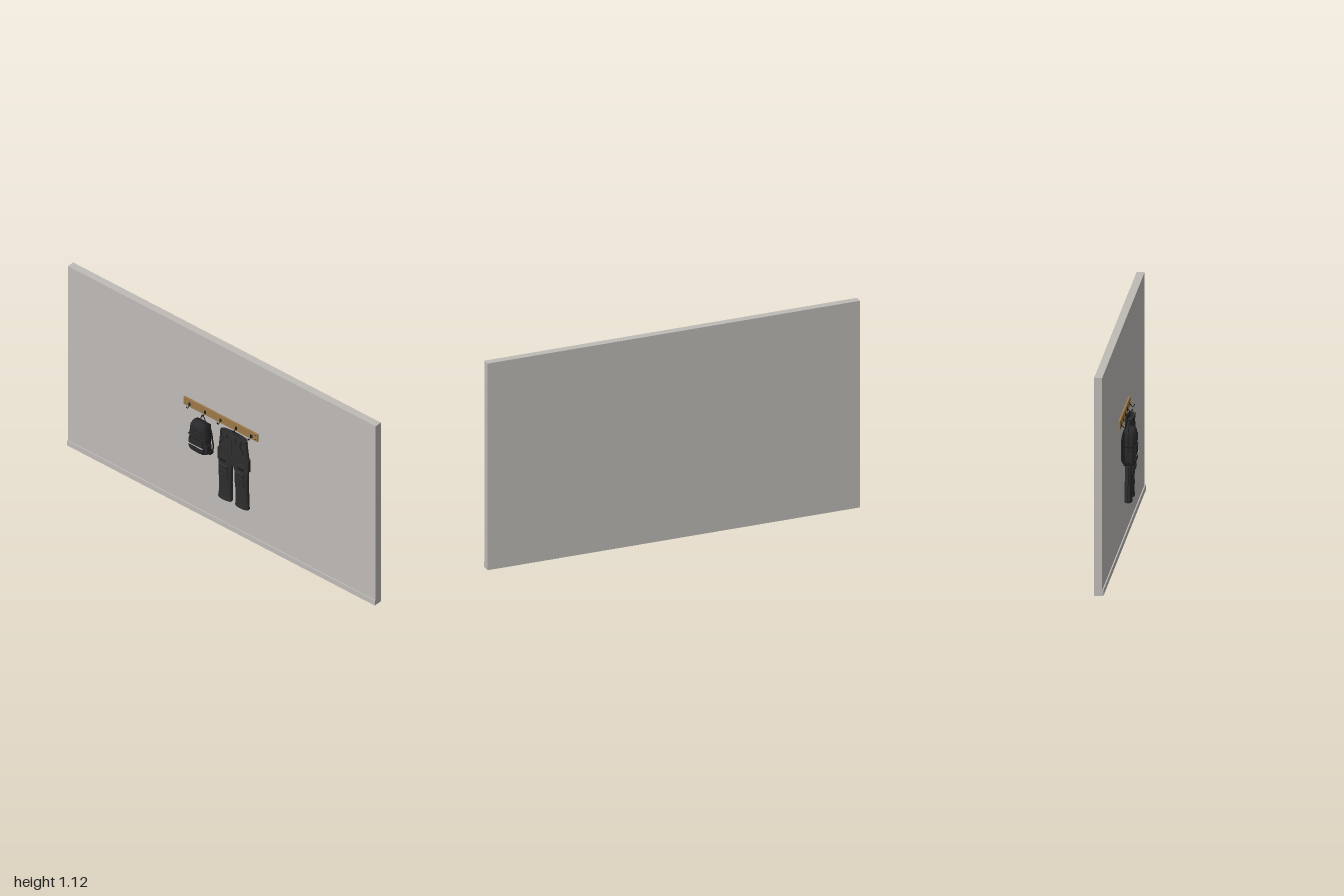
import * as THREE from 'three';
import { toCreasedNormals } from 'three/addons/utils/BufferGeometryUtils.js';
import { RoundedBoxGeometry } from 'three/addons/geometries/RoundedBoxGeometry.js';

const paint = (name, color) => {
  const m = new THREE.MeshStandardMaterial({ color });
  m.name = name;
  return m;
};

export function createModel() {
  const wallGrey = paint('wall grey', 0xbfbbb7);
  const wood = paint('wood', 0x9c7848);
  const iron = paint('black iron', 0x18181a);
  const trouserCloth = paint('trouser cloth', 0x2e2e2f);
  const packCloth = paint('pack cloth', 0x29292b);
  const trim = paint('dark trim', 0x1c1c1d);
  const reflective = paint('reflective tape', 0xd8d8d8);

  const model = new THREE.Group();
  const add = (parent, name, geo, mat, x = 0, y = 0, z = 0) => {
    const mesh = new THREE.Mesh(geo, mat);
    mesh.name = name;
    mesh.position.set(x, y, z);
    parent.add(mesh);
    return mesh;
  };
  const group = (name, parent = model) => {
    const g = new THREE.Group();
    g.name = name;
    parent.add(g);
    return g;
  };
  const box = (w, h, d) => new THREE.BoxGeometry(w, h, d);
  const soft = (w, h, d, r = 0.004) => new RoundedBoxGeometry(w, h, d, 2, r);
  const tube = (pts, r, n = 20) => new THREE.TubeGeometry(
    new THREE.CatmullRomCurve3(pts.map(p => new THREE.Vector3(...p))), n, r, 6);

  // Skin over superellipse sections [y, cx, cz, rx, rz], listed bottom to top
  const loft = (sections, power = 2.6, fold = 0, n = 32) => {
    const pos = [], idx = [];
    const pw = v => Math.sign(v) * Math.abs(v) ** (2 / power);
    sections.forEach(([y, cx, cz, rx, rz]) => {
      for (let j = 0; j < n; j++) {
        const a = j / n * Math.PI * 2;
        const k = 1 + fold * Math.sin(a * 5 + y * 60);
        pos.push(cx + rx * k * pw(Math.cos(a)), y, cz + rz * k * pw(Math.sin(a)));
      }
    });
    for (let i = 0; i < sections.length - 1; i++) {
      for (let j = 0; j < n; j++) {
        const a = i * n + j, c = i * n + (j + 1) % n;
        idx.push(a, a + n, c, a + n, c + n, c);
      }
    }
    const geo = new THREE.BufferGeometry();
    geo.setAttribute('position', new THREE.Float32BufferAttribute(pos, 3));
    geo.setIndex(idx);
    return toCreasedNormals(geo, 0.8);
  };

  // Wall with skirting
  add(model, 'wall', box(2, 1.12, 0.04), wallGrey, 0, 0.56, -0.04);
  add(model, 'skirting', box(2, 0.03, 0.006), wallGrey, 0, 0.015, -0.017);

  // Coat rail with five hooks
  const rail = group('coatRail');
  add(rail, 'board', box(0.48, 0.046, 0.009), wood, 0, 0.667, -0.0155);
  for (const x of [-0.225, 0.225]) {
    for (const y of [0.655, 0.68]) {
      const screw = add(rail, 'screw', new THREE.CylinderGeometry(0.002, 0.002, 0.002, 10), iron, x, y, -0.0105);
      screw.rotation.x = Math.PI / 2;
    }
  }
  for (let i = -2; i <= 2; i++) {
    const hook = group('hook', rail);
    hook.position.x = i * 0.1;
    add(hook, 'hookPlate', soft(0.012, 0.018, 0.003, 0.001), iron, 0, 0.662, -0.01);
    add(hook, 'hookArm', tube([[0, 0.664, -0.01], [0, 0.655, -0.003], [0, 0.647, 0.006], [0, 0.658, 0.014]], 0.0021), iron);
    add(hook, 'hookTip', new THREE.SphereGeometry(0.0035, 10, 8), iron, 0, 0.659, 0.014);
  }

  // Trousers
  const trousers = group('trousers');
  add(trousers, 'hips', loft([
    [0.44, 0.098, 0, 0, 0], [0.44, 0.098, 0, 0.091, 0.015], [0.47, 0.098, 0, 0.097, 0.019],
    [0.52, 0.098, 0.001, 0.096, 0.021], [0.57, 0.098, 0.002, 0.09, 0.021], [0.61, 0.098, 0.002, 0.084, 0.02],
    [0.625, 0.098, 0.002, 0.083, 0.02], [0.625, 0.098, 0.002, 0.079, 0.016], [0.6, 0.098, 0.002, 0.079, 0.015],
    [0.6, 0.098, 0.002, 0, 0],
  ], 2.6), trouserCloth);
  add(trousers, 'waistband', loft([
    [0.606, 0.098, 0.002, 0.086, 0.0215], [0.628, 0.098, 0.002, 0.085, 0.0215],
    [0.628, 0.098, 0.002, 0.081, 0.0175], [0.61, 0.098, 0.002, 0.081, 0.0175],
  ]), trouserCloth);
  for (const x of [0.035, 0.07, 0.126, 0.161]) {
    add(trousers, 'beltLoop', box(0.005, 0.026, 0.003), trim, x, 0.616, 0.0225);
  }
  add(trousers, 'fly', box(0.003, 0.09, 0.003), trim, 0.098, 0.56, 0.0225);
  add(trousers, 'button', new THREE.SphereGeometry(0.003, 10, 8), trim, 0.098, 0.617, 0.0235);
  add(trousers, 'hangingLoop', tube([[0.085, 0.622, -0.012], [0.093, 0.64, -0.002], [0.1, 0.652, 0.005],
    [0.107, 0.64, -0.002], [0.113, 0.622, -0.012]], 0.0017), trim);
  for (const s of [-1, 1]) {
    const leg = group(s < 0 ? 'rightLeg' : 'leftLeg', trousers);
    const c = d => 0.098 + s * d;
    add(leg, 'legCloth', loft([
      [0.215, c(0.055), 0.001, 0, 0], [0.205, c(0.055), 0.001, 0.039, 0.017], [0.207, c(0.055), 0.001, 0.042, 0.019],
      [0.24, c(0.0545), 0, 0.041, 0.018], [0.27, c(0.054), 0.001, 0.041, 0.019], [0.31, c(0.053), 0.001, 0.04, 0.018],
      [0.35, c(0.052), 0.003, 0.041, 0.02], [0.39, c(0.052), 0.004, 0.042, 0.02], [0.43, c(0.051), 0.002, 0.044, 0.02],
      [0.47, c(0.05), 0.001, 0.046, 0.019], [0.5, c(0.047), 0, 0.044, 0.015], [0.5, c(0.047), 0, 0, 0],
    ], 2.5, 0.02), trouserCloth);
    add(leg, 'hem', loft([
      [0.205, c(0.055), 0.001, 0.0425, 0.0195], [0.215, c(0.055), 0.001, 0.0425, 0.0195],
    ], 2.5, 0.02), trouserCloth);
    // Knee pad with seams
    add(leg, 'kneePad', soft(0.054, 0.084, 0.012), trouserCloth, c(0.052), 0.387, 0.022);
    for (const y of [0.358, 0.385, 0.414]) add(leg, 'kneeSeam', box(0.05, 0.002, 0.002), trim, c(0.052), y, 0.028);
    // Thigh pocket on the outer side, slanted hip pocket, back pocket
    add(leg, 'thighPocket', soft(0.01, 0.075, 0.026), trouserCloth, c(0.094), 0.475, 0.001);
    add(leg, 'thighFlap', soft(0.04, 0.014, 0.006, 0.002), trim, c(0.056), 0.452, 0.021);
    const slit = add(leg, 'hipPocket', box(0.003, 0.055, 0.004), trim, c(0.064), 0.575, 0.02);
    slit.rotation.z = s * 0.45;
    add(leg, 'backPocket', box(0.045, 0.05, 0.004), trouserCloth, c(0.045), 0.55, -0.0185);
    add(leg, 'sideSeam', tube([[c(0.097), 0.21, 0.001], [c(0.094), 0.35, 0.003], [c(0.096), 0.46, 0.001]], 0.0012), trim);
  }

  // Backpack
  const pack = group('backpack');
  pack.position.x = -0.104;
  add(pack, 'body', loft([
    [0.44, 0, 0.025, 0, 0], [0.44, 0, 0.025, 0.046, 0.02], [0.446, 0, 0.025, 0.055, 0.026],
    [0.48, 0, 0.026, 0.057, 0.029], [0.53, 0, 0.026, 0.056, 0.031], [0.58, 0, 0.027, 0.051, 0.032],
    [0.605, 0, 0.027, 0.046, 0.031], [0.619, 0, 0.027, 0.038, 0.027], [0.626, 0, 0.026, 0.025, 0.018],
    [0.628, 0, 0.025, 0, 0],
  ], 3), packCloth);
  add(pack, 'frontPocket', soft(0.086, 0.085, 0.02, 0.008), packCloth, 0, 0.5, 0.051);
  add(pack, 'upperPocket', soft(0.072, 0.045, 0.014, 0.006), packCloth, 0, 0.573, 0.053);
  add(pack, 'reflectiveStripe', box(0.094, 0.004, 0.002), reflective, 0, 0.491, 0.0612);
  add(pack, 'pocketZip', box(0.078, 0.003, 0.003), trim, 0, 0.538, 0.0605);
  add(pack, 'upperZip', box(0.06, 0.003, 0.003), trim, 0, 0.59, 0.0595);
  add(pack, 'mainZip', tube([[-0.057, 0.47, 0.02], [-0.056, 0.54, 0.02], [-0.05, 0.59, 0.02], [-0.034, 0.622, 0.02],
    [0, 0.629, 0.02], [0.034, 0.622, 0.02], [0.05, 0.59, 0.02], [0.056, 0.54, 0.02], [0.057, 0.47, 0.02]], 0.002, 48), trim);
  add(pack, 'backPanel', soft(0.09, 0.16, 0.008, 0.003), trim, 0, 0.53, -0.004);
  add(pack, 'carryLoop', tube([[-0.014, 0.618, 0.002], [-0.008, 0.637, 0.005], [0.004, 0.651, 0.006],
    [0.012, 0.637, 0.005], [0.016, 0.618, 0.002]], 0.0022), trim);
  for (const s of [-1, 1]) {
    add(pack, 'shoulderStrap', tube([[s * 0.022, 0.61, -0.004], [s * 0.038, 0.57, -0.012], [s * 0.05, 0.51, -0.012],
      [s * 0.058, 0.46, -0.007], [s * 0.055, 0.448, 0.01]], 0.004), trim);
    add(pack, 'sidePocket', soft(0.012, 0.055, 0.036), packCloth, s * 0.055, 0.478, 0.025);
    add(pack, 'hipBeltWing', soft(0.016, 0.02, 0.03), trim, s * 0.06, 0.453, 0.012);
    add(pack, 'compressionStrap', box(0.004, 0.005, 0.045), trim, s * 0.056, 0.535, 0.026);
  }
  // Loose end of the hip belt
  add(pack, 'beltEnd', tube([[-0.058, 0.455, 0.01], [-0.064, 0.45, 0.012], [-0.066, 0.444, 0.02]], 0.003), trim);
  return model;
}
